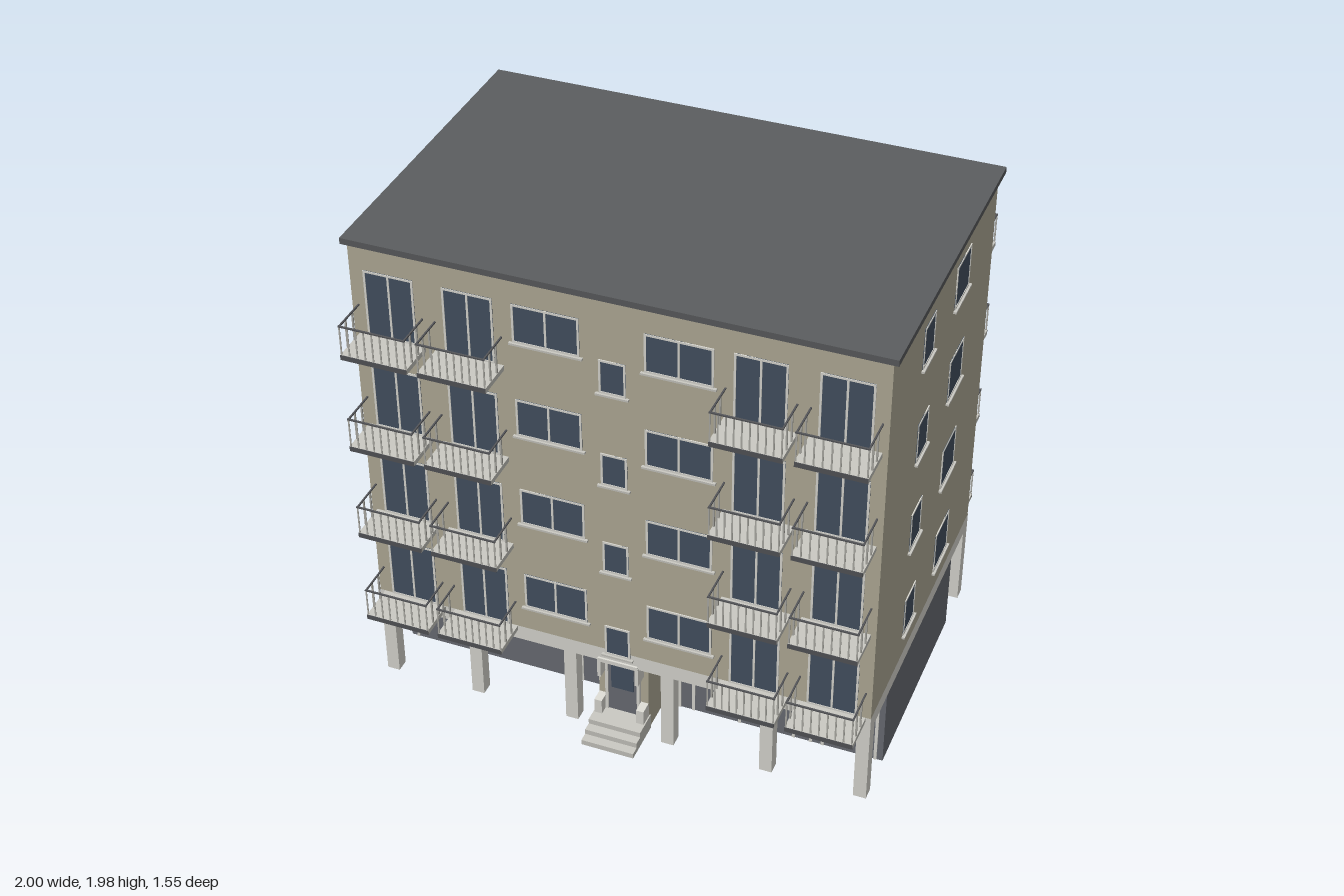
import * as THREE from 'three';

const mat = (color) => new THREE.MeshStandardMaterial({ color });
const wall = mat(0xb7b19c), roofMat = mat(0x5c5e60), shop = mat(0x6d7078), glassMat = mat(0x465364);
const light = mat(0xe0dfd8), slabMat = mat(0xcbcac3), railMat = mat(0xb2b1aa), dark = mat(0x55565a);

// Overall levels and wall planes
const FRONT = 0.62, BACK = -0.637, SIDE = 0.98, FLOORS = 4, STEP = 0.3975, CEILING = 0.335;

// Box given by its min and max corners
function box(parent, name, m, x0, x1, y0, y1, z0, z1) {
  const mesh = new THREE.Mesh(new THREE.BoxGeometry(x1 - x0, y1 - y0, z1 - z0), m);
  mesh.position.set((x0 + x1) / 2, (y0 + y1) / 2, (z0 + z1) / 2);
  mesh.name = name;
  parent.add(mesh);
}

// Window facing local +z: glass, frame, mullions and an optional sill
function makeWindow(name, x0, x1, y0, y1, panes = 1, sill = true) {
  const g = new THREE.Group(), t = 0.008;
  g.name = name;
  box(g, 'glass', glassMat, x0, x1, y0, y1, -0.005, 0.002);
  for (let i = 0; i <= panes; i++) {
    const x = x0 + t / 2 + (x1 - x0 - t) * i / panes;
    box(g, 'frameUpright', light, x - t / 2, x + t / 2, y0, y1, -0.005, 0.004);
  }
  box(g, 'frameTop', light, x0, x1, y1 - t, y1, -0.005, 0.004);
  box(g, 'frameBottom', light, x0, x1, y0, y0 + t, -0.005, 0.004);
  if (sill) box(g, 'sill', slabMat, x0 - 0.012, x1 + 0.012, y0 - 0.008, y0, -0.005, 0.012);
  return g;
}

// Balcony facing local +z, slab top at y = 0.02; sidePosts are distances from the wall
function makeBalcony(x0, x1, y, depth, sidePosts) {
  const g = new THREE.Group(), r = 0.003, top = 0.14;
  g.name = 'balcony';
  g.position.y = y;
  box(g, 'slab', slabMat, x0, x1, 0, 0.02, -0.005, depth);
  box(g, 'slabEdge', dark, x0, x1, 0, 0.02, depth, depth + 0.002);
  box(g, 'frontRail', dark, x0, x1, top - 0.005, top, depth - 0.007, depth);
  const post = (x, z, d) => box(g, 'baluster', railMat, x - r, x + r, 0.02, top - 0.005, z - d, z + d);
  for (const x of [x0 + 0.004, x1 - 0.004]) {
    box(g, 'sideRail', dark, x - 0.003, x + 0.003, top - 0.005, top, 0, depth);
    for (const z of sidePosts) post(x, z, r);
  }
  const n = Math.round((x1 - x0) / 0.03);
  for (let i = 0; i <= n; i++) post(x0 + 0.004 + (x1 - x0 - 0.008) * i / n, depth - 0.003, 0.001);
  return g;
}

// Wall group turned so that its local +z is the outward direction
function facade(root, name, x, z, angle) {
  const g = new THREE.Group();
  g.name = name;
  g.position.set(x, 0, z);
  g.rotation.y = angle;
  root.add(g);
  return g;
}

// Ground floor: two shops open at the bottom, with a hall between them
function makeGroundFloor() {
  const g = new THREE.Group(), t = 0.008, zf = 0.41, zb = -0.43, hall = 0.1;
  g.name = 'groundFloor';
  for (const s of [-1, 1]) {
    const part = (name, m, a, b, ...rest) => box(g, name, m, Math.min(s * a, s * b), Math.max(s * a, s * b), ...rest);
    part('shopEndWall', shop, SIDE - t, SIDE - 0.002, 0, CEILING, zb, zf);
    part('shopFront', shop, hall, SIDE - t, 0, CEILING, zf - t, zf);
    part('shopBack', shop, hall, SIDE - t, 0, CEILING, zb, zb + t);
    part('shopCeiling', shop, hall, SIDE - t, CEILING - t, CEILING, zb + t, zf - t);
    part('hallWall', wall, hall - t, hall, 0, CEILING, zb, 0.57);
  }
  box(g, 'hallCeiling', wall, -hall, hall, CEILING - t, CEILING, zb, 0.57);
  box(g, 'hallFront', wall, -hall, hall, 0, CEILING, 0.57 - t, 0.57);
  // Rear lobby and its door
  box(g, 'rearLobbyLeft', wall, hall - t, hall, 0, CEILING, -0.585, zb);
  box(g, 'rearLobbyRight', wall, -0.18, -0.18 + t, 0, CEILING, -0.585, zb);
  box(g, 'rearLobbyBack', wall, -0.18, hall, 0, CEILING, -0.585, -0.585 + t);
  box(g, 'rearDoor', shop, -0.17, 0.055, 0, 0.3, -0.592, -0.585);

  // Light outlines of the shop windows
  const outline = (x0, x1, z) => {
    const w = 0.012, h = 0.28;
    for (const x of [x0, x1 - w]) box(g, 'shopFrameUpright', light, x, x + w, 0, h, z - 0.004, z + 0.004);
    box(g, 'shopFrameTop', light, x0, x1, h - w, h, z - 0.004, z + 0.004);
  };
  for (const [a, b] of [[-0.955, -0.7], [-0.665, -0.235], [-0.17, -0.11],
    [0.11, 0.17], [0.215, 0.415], [0.62, 0.7], [0.735, 0.955]]) outline(a, b, zf);
  for (const [a, b] of [[0.345, 0.6], [-0.83, -0.57]]) outline(a, b, zb);
  return g;
}

// Front entrance: door, surround and steps
function makeEntrance() {
  const g = new THREE.Group();
  g.name = 'entrance';
  box(g, 'door', shop, -0.06, 0.06, 0.06, CEILING, 0.56, 0.58);
  box(g, 'doorGlass', glassMat, -0.045, 0.045, 0.18, 0.325, 0.57, 0.584);
  box(g, 'lintel', light, -0.08, 0.08, CEILING, 0.352, 0.56, 0.628);
  for (const s of [-1, 1]) {
    const part = (name, m, a, b, ...rest) => box(g, name, m, Math.min(s * a, s * b), Math.max(s * a, s * b), ...rest);
    part('doorJamb', light, 0.058, 0.07, 0.06, 0.34, 0.56, 0.585);
    part('upperBracket', light, 0.068, 0.082, 0.26, 0.345, 0.57, 0.628);
    part('lowerBracket', light, 0.07, 0.1, 0.06, 0.13, 0.565, 0.622);
  }
  for (let i = 0; i < 3; i++)
    box(g, 'step', slabMat, -0.105, 0.105, i * 0.022, (i + 1) * 0.022, 0.56, 0.74 - i * 0.036);
  return g;
}

export function createModel() {
  const root = new THREE.Group();
  root.name = 'apartmentBuilding';

  // Main volume, concrete band and roof
  box(root, 'upperWalls', wall, -SIDE, SIDE, 0.4, 1.96, BACK, FRONT);
  box(root, 'concreteBand', light, -SIDE, SIDE, CEILING + 0.002, 0.4, BACK - 0.006, FRONT);
  box(root, 'soffit', wall, -0.975, 0.975, CEILING, CEILING + 0.005, BACK + 0.005, FRONT - 0.005);
  box(root, 'roof', roofMat, -1, 1, 1.957, 1.981, -0.66, 0.634);

  // Columns along front and back
  for (const x of [-0.955, -0.59, -0.195, 0.195, 0.587, 0.955]) {
    box(root, 'frontColumn', light, x - 0.025, x + 0.025, 0, 0.345, FRONT - 0.052, FRONT);
    box(root, 'backColumn', light, x - 0.025, x + 0.025, 0, 0.345, BACK - 0.006, BACK + 0.048);
  }
  root.add(makeGroundFloor(), makeEntrance());

  // Facades
  const front = facade(root, 'frontFacade', 0, FRONT, 0);
  const back = facade(root, 'backFacade', 0, BACK, Math.PI);
  const sides = [facade(root, 'leftFacade', SIDE, -0.008, Math.PI / 2),
    facade(root, 'rightFacade', -SIDE, -0.008, -Math.PI / 2)];

  for (let f = 0; f < FLOORS; f++) {
    const y = 0.38 + f * STEP; // balcony slab level
    // Front: balcony doors, living windows and the stair window
    for (const s of [-1, 1]) {
      for (const [door, slab, half] of [[0.832, 0.8325, 0.1275], [0.533, 0.535, 0.13]]) {
        front.add(makeWindow('balconyDoor', s * door - 0.095, s * door + 0.095, y + 0.02, y + 0.288, 2, false));
        front.add(makeBalcony(s * slab - half, s * slab + half, y, 0.15, [0.05, 0.1]));
      }
      front.add(makeWindow('wideWindow', s * 0.243 - 0.125, s * 0.243 + 0.125, y + 0.128, y + 0.285, 2));
    }
    front.add(makeWindow('stairWindow', -0.05, 0.05, y, y + 0.138));

    // Back: row of windows, balcony at the left end (local x is mirrored)
    for (const [a, b] of [[0.66, 0.73], [0.42, 0.58], [0.24, 0.38], [0.065, 0.135], [-0.15, 0],
      [-0.365, -0.21], [-0.51, -0.45], [-0.71, -0.57], [-0.95, -0.78]])
      back.add(makeWindow('backWindow', -b, -a, y + 0.12, y + 0.285));
    back.add(makeWindow('backBalconyDoor', -0.95, -0.83, y + 0.02, y + 0.285, 1, false));
    back.add(makeBalcony(-0.96, -0.8, y, 0.135, [0.018, 0.063]));

    // Ends: one small and one large window each
    for (const side of sides) {
      side.add(makeWindow('smallSideWindow', -0.265, -0.138, y + 0.12, y + 0.284));
      side.add(makeWindow('largeSideWindow', 0.12, 0.295, y + 0.12, y + 0.294));
    }
  }
  return root;
}
